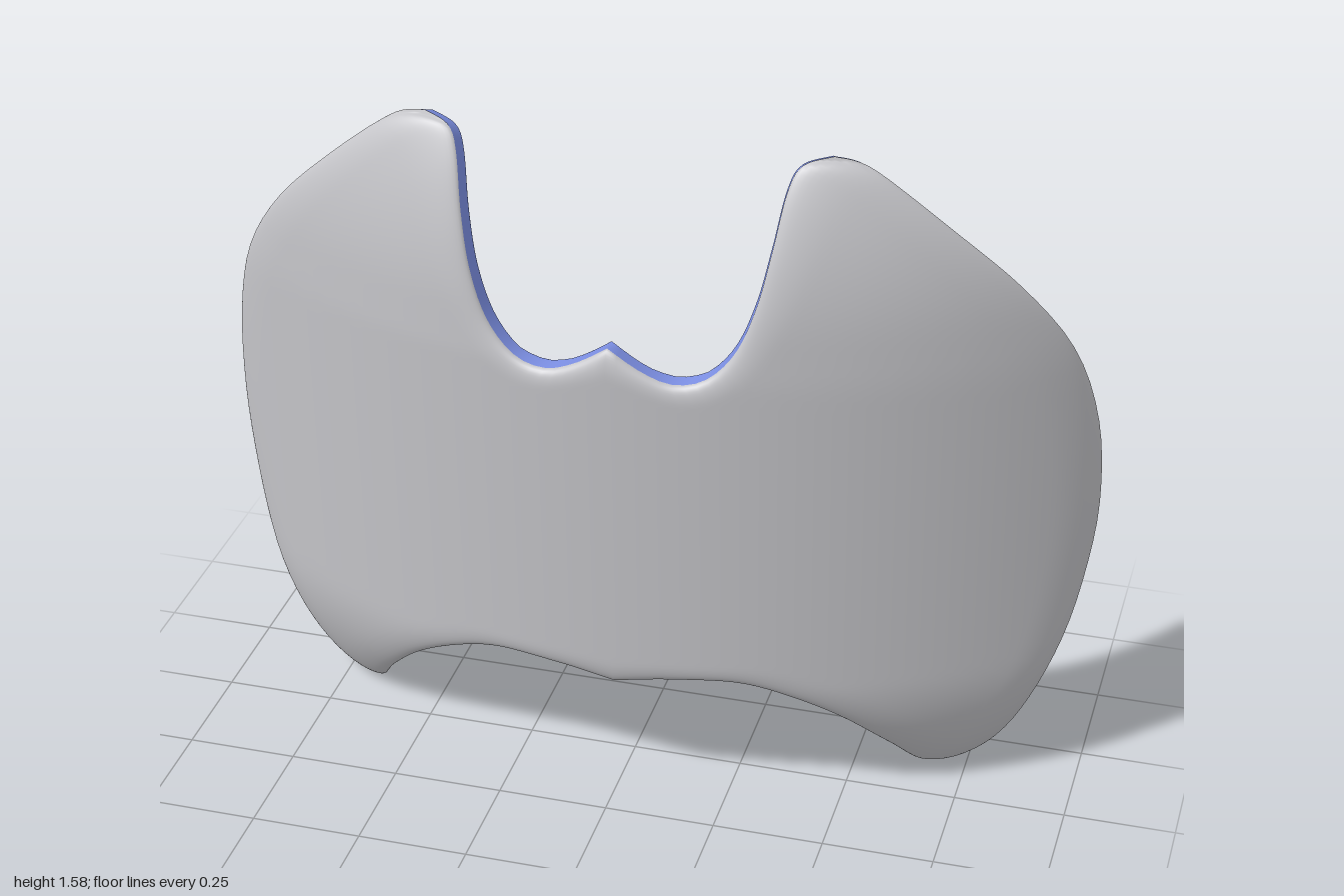
import * as THREE from 'three';

const spline = (pts) => new THREE.SplineCurve(pts.map(([x, y]) => new THREE.Vector2(x, y)));

// Outline of the left half (+x), mirrored for the right
const topEdge = spline([[0, 1.16], [0.07, 1.115], [0.14, 1.09], [0.21, 1.108], [0.27, 1.175], [0.31, 1.28],
  [0.335, 1.4], [0.355, 1.52], [0.38, 1.57], [0.44, 1.587]]);
const sideEdge = spline([[0.70, 0.003], [0.76, 0.03], [0.85, 0.14], [0.94, 0.345], [0.985, 0.55], [1, 0.73],
  [0.985, 0.93], [0.93, 1.12], [0.82, 1.29], [0.67, 1.44], [0.52, 1.56], [0.44, 1.587]]);
const bottomEdge = spline([[0, 0.3], [0.12, 0.322], [0.27, 0.328], [0.39, 0.29], [0.5, 0.22], [0.59, 0.12],
  [0.65, 0.025], [0.70, 0.003]]);

const NU = 96, NV = 56, THICK = 0.045;
const ease = (t) => (1 - Math.cos(t * Math.PI)) / 2; // denser near the edges
const us = Array.from({ length: NU + 1 }, (_, i) => ease(i / NU) * 2 - 1);
const vs = Array.from({ length: NV + 1 }, (_, j) => ease(j / NV));
us[NU / 2] = 0;

// Blend the four edges of a half into a patch
const cache = (curve, params) => params.map((t) => curve.getPointAt(Math.min(1, Math.abs(t))));
const tops = cache(topEdge, us), bottoms = cache(bottomEdge, us), sides = cache(sideEdge, vs);
const B0 = bottoms[NU / 2], B1 = bottoms[NU], T0 = tops[NU / 2], T1 = tops[NU];
function planPoint(i, j) {
  const u = Math.abs(us[i]), v = vs[j];
  const blend = (k) => (1 - v) * bottoms[i][k] + v * tops[i][k]
    + (1 - u) * ((1 - v) * B0[k] + v * T0[k]) + u * sides[j][k]
    - (1 - u) * ((1 - v) * B0[k] + v * T0[k]) - u * ((1 - v) * B1[k] + v * T1[k]);
  return [Math.sign(us[i]) * blend('x'), blend('y')];
}

// Curved depth: an arc across, leaning and curling back at the tips
function depth(x, y) {
  const R = 1.43, up = Math.max(0, y - 1.2), down = Math.max(0, 0.33 - y);
  return 0.22 - (R - Math.sqrt(R * R - x * x)) + 0.06 * Math.min(0, y - 1.1) - 0.55 * up * up - 1.1 * down * down;
}

// Grid point pushed along the surface normal
function shellPoint(i, j, offset) {
  const [x, y] = planPoint(i, j), e = 0.002;
  const n = new THREE.Vector3(
    (depth(x - e, y) - depth(x + e, y)) / (2 * e),
    (depth(x, y - e) - depth(x, y + e)) / (2 * e), 1).normalize();
  return new THREE.Vector3(x, y, depth(x, y)).addScaledVector(n, offset);
}

// 0 inside, rising in a quarter round to 1 at the rim
function rounding(i, j, width) {
  const a = Math.max(0, 1 - (1 - Math.abs(us[i])) * 0.8 / width);
  const b = Math.max(0, 1 - Math.min(vs[j], 1 - vs[j]) / width);
  return 1 - Math.sqrt(1 - Math.min(1, a * a + b * b));
}

const frontPoint = (i, j) => shellPoint(i, j, 0.02 * (1 - rounding(i, j, 0.07)));
const backPoint = (i, j) => shellPoint(i, j, -THICK + 0.012 * rounding(i, j, 0.05));

function makeGeometry(points, index) {
  const g = new THREE.BufferGeometry().setFromPoints(points);
  g.setIndex(index);
  g.computeVertexNormals();
  return g;
}

function patch(pointAt, flip) {
  const points = [], index = [];
  for (let i = 0; i <= NU; i++) for (let j = 0; j <= NV; j++) points.push(pointAt(i, j));
  for (let i = 0; i < NU; i++) for (let j = 0; j < NV; j++) {
    const a = i * (NV + 1) + j, b = a + NV + 1;
    if (flip) index.push(a, b + 1, b, a, a + 1, b + 1);
    else index.push(a, b, b + 1, a, b + 1, a + 1);
  }
  return makeGeometry(points, index);
}

// Wall joining front and back around the whole outline
function rimStrip() {
  const loop = [];
  for (let i = 0; i < NU; i++) loop.push([i, 0]);
  for (let j = 0; j < NV; j++) loop.push([NU, j]);
  for (let i = NU; i > 0; i--) loop.push([i, NV]);
  for (let j = NV; j > 0; j--) loop.push([0, j]);
  const points = [], index = [], n = loop.length;
  for (const [i, j] of loop) points.push(frontPoint(i, j), backPoint(i, j));
  for (let k = 0; k < n; k++) {
    const f = 2 * k, f2 = 2 * ((k + 1) % n);
    index.push(f, f + 1, f2, f2, f + 1, f2 + 1);
  }
  return makeGeometry(points, index);
}

export function createModel() {
  const grey = new THREE.MeshStandardMaterial({ color: 0xc6c6ca });
  grey.name = 'light grey';
  const blue = new THREE.MeshStandardMaterial({ color: 0x7b8ee2 });
  blue.name = 'soft blue';

  const group = new THREE.Group();
  group.name = 'curvedShield';
  const add = (name, geometry, material) => {
    const mesh = new THREE.Mesh(geometry, material);
    mesh.name = name;
    group.add(mesh);
  };
  add('frontShell', patch(frontPoint, false), grey);
  add('backLining', patch(backPoint, true), blue);
  add('rim', rimStrip(), blue);
  return group;
}
